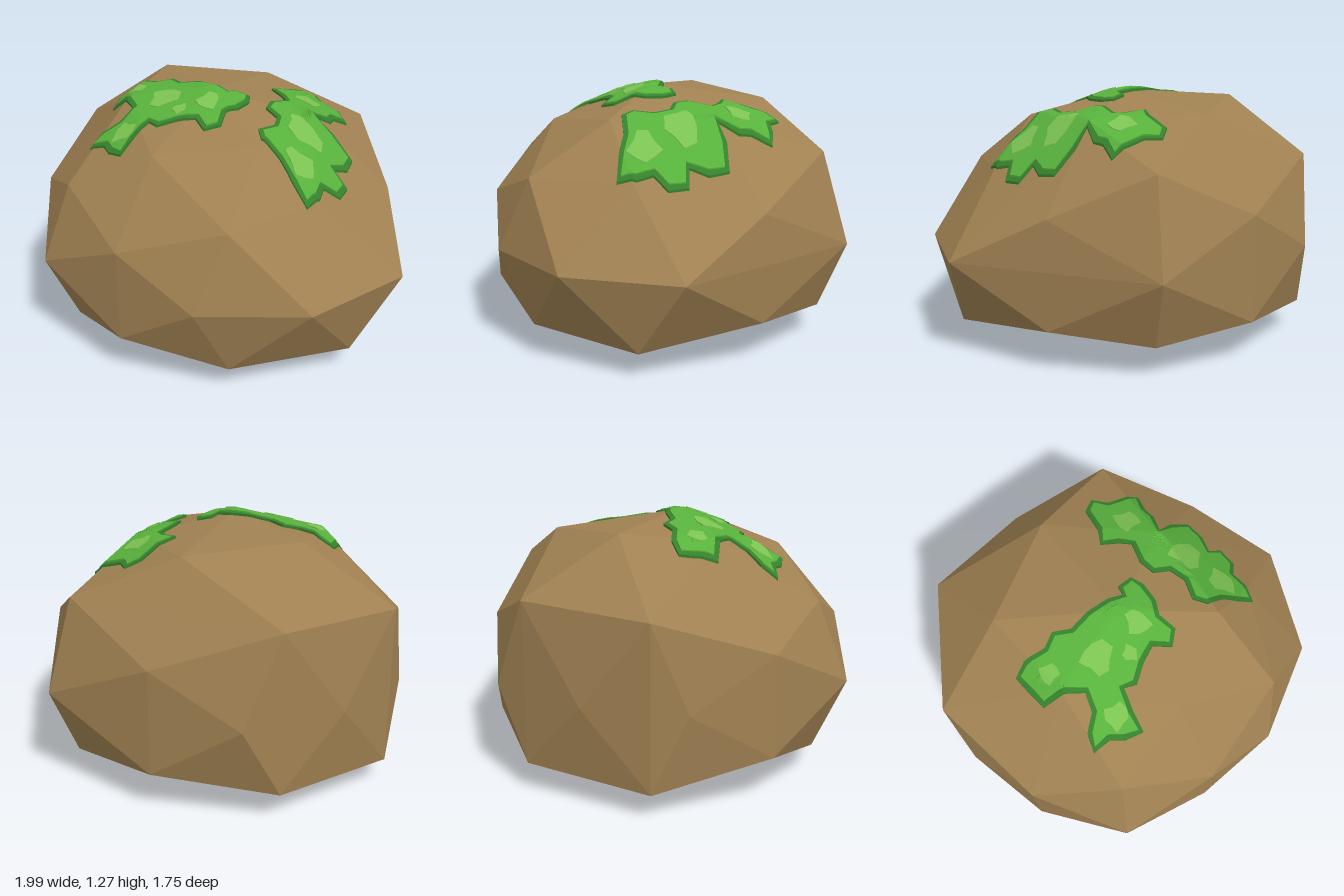
import * as THREE from 'three';
import { ConvexGeometry } from 'three/addons/geometries/ConvexGeometry.js';

// Boulder corners that share one plan position: x, z, low y, high y
const COLUMNS = [
  [-0.08, 0.87, 0.24, 0.71], [0.42, 0.69, 0.14, 0.87], [0.73, -0.38, 0.21, 0.74],
  [0.39, -0.75, 0.16, 0.96], [-0.1, -0.885, 0.21, 0.73], [-0.67, -0.69, 0.15, 0.94],
  [-0.99, -0.12, 0.13, 0.92], [-0.86, 0.44, 0.24, 0.73], [-0.5, 0.69, 0.14, 0.88],
  [-0.08, 0.56, 0.06, 1.08], [0.34, 0.3, 0.05, 1.13], [0.35, -0.2, 0.05, 1.13],
  [-0.1, -0.56, 0.06, 1.17], [-0.57, -0.25, 0.05, 1.22], [-0.5, 0.2, 0.05, 1.17],
  [-0.08, 0.05, 0, 1.255],
];
// Corners of the waist: x, z at y = 0.5
const WAIST = [
  [0.33, 0.85], [0.79, 0.57], [1, 0.03], [0.46, -0.87], [-0.54, -0.83],
  [-0.87, -0.43], [-0.99, 0.05], [-0.57, 0.83],
];
// Moss outlines seen from above: x, z
const MOSS_LEFT = [
  [-0.63, 0.02], [-0.56, -0.01], [-0.45, 0], [-0.38, -0.04], [-0.3, 0], [-0.2, -0.02],
  [-0.08, -0.02], [-0.01, 0], [0, -0.05], [0.08, -0.06], [0.11, 0], [0.11, 0.1],
  [0.08, 0.17], [0.11, 0.26], [0.05, 0.32], [-0.03, 0.27], [-0.11, 0.31], [-0.19, 0.37],
  [-0.25, 0.35], [-0.27, 0.45], [-0.28, 0.55], [-0.37, 0.53], [-0.43, 0.49], [-0.52, 0.49],
  [-0.5, 0.41], [-0.43, 0.35], [-0.41, 0.27], [-0.49, 0.22], [-0.6, 0.2], [-0.62, 0.1],
];
const MOSS_RIGHT = [
  [0.13, -0.52], [0.2, -0.57], [0.26, -0.51], [0.36, -0.5], [0.43, -0.48], [0.4, -0.38],
  [0.41, -0.32], [0.37, -0.22], [0.46, -0.25], [0.58, -0.24], [0.6, -0.14], [0.57, -0.05],
  [0.65, -0.04], [0.66, 0.06], [0.6, 0.12], [0.62, 0.2], [0.6, 0.29], [0.5, 0.27],
  [0.42, 0.24], [0.32, 0.24], [0.27, 0.18], [0.3, 0.08], [0.27, 0], [0.19, -0.03],
  [0.17, -0.11], [0.2, -0.22], [0.15, -0.26], [0.07, -0.3], [0.11, -0.38],
];
// Light tufts: x, z, radius
const TUFTS_LEFT = [[-0.5, 0.11, 0.05], [-0.28, 0.18, 0.08], [-0.14, 0.245, 0.04], [-0.03, 0.15, 0.065], [-0.35, 0.43, 0.06]];
const TUFTS_RIGHT = [[0.26, -0.35, 0.07], [0.4, -0.04, 0.09], [0.49, 0.15, 0.08]];

function boulderGeometry() {
  const v = (x, y, z) => new THREE.Vector3(x, y, z);
  const points = COLUMNS.flatMap(([x, z, lo, hi]) => [v(x, lo, z), v(x, hi, z)]);
  WAIST.forEach(([x, z]) => points.push(v(x, 0.5, z)));
  points.push(v(0.83, 0.13, 0.22), v(0.62, 0.88, 0.22));
  return new ConvexGeometry(points);
}

// Height of the boulder's top: the lowest of its upward facing planes
function heightFunction(geometry) {
  const p = geometry.attributes.position;
  const planes = [];
  for (let i = 0; i < p.count; i += 3) {
    const [a, b, c] = [0, 1, 2].map((k) => new THREE.Vector3().fromBufferAttribute(p, i + k));
    const plane = new THREE.Plane().setFromCoplanarPoints(a, b, c);
    if (plane.normal.y > 0.05) planes.push(plane);
  }
  return (x, z) => Math.min(...planes.map(({ normal: n, constant: d }) => -(d + n.x * x + n.z * z) / n.y));
}

// Moves an outline inward by a fixed distance
function inset(outline, distance) {
  const pts = outline.map(([x, z]) => new THREE.Vector2(x, z));
  const sign = Math.sign(THREE.ShapeUtils.area(pts));
  return pts.map((p, i) => {
    const a = pts[(i + pts.length - 1) % pts.length], b = pts[(i + 1) % pts.length];
    const t = b.clone().sub(a).normalize();
    return [p.x - t.y * distance * sign, p.y + t.x * distance * sign];
  });
}

// Splits every triangle in four
function subdivide(tris) {
  return tris.flatMap(([a, b, c]) => {
    const [ab, bc, ca] = [[a, b], [b, c], [c, a]].map(([m, n]) => m.clone().lerp(n, 0.5));
    return [[a, ab, ca], [ab, b, bc], [ca, bc, c], [ab, bc, ca]];
  });
}

// Thin slab with the given outline, laid over the boulder
function drape(outline, lift, height, passes) {
  const shape = new THREE.Shape(outline.map(([x, z]) => new THREE.Vector2(x, -z)));
  const slab = new THREE.ExtrudeGeometry(shape, { depth: 1, bevelEnabled: false, steps: 1 });
  const p = slab.attributes.position;
  let tris = [];
  for (let i = 0; i < p.count; i += 3) {
    tris.push([0, 1, 2].map((k) => new THREE.Vector3().fromBufferAttribute(p, i + k)));
  }
  for (let i = 0; i < passes; i++) tris = subdivide(tris);
  const points = tris.flat().map((q) => new THREE.Vector3(q.x, height(q.x, -q.y) + q.z * lift - 0.002, -q.y));
  const geometry = new THREE.BufferGeometry().setFromPoints(points);
  geometry.computeVertexNormals();
  return geometry;
}

// Uneven little outline for a tuft
function tuftOutline([x, z, r], seed) {
  return Array.from({ length: 9 }, (_, i) => {
    const a = (i / 9) * Math.PI * 2;
    const k = r * (0.9 + 0.22 * Math.sin(i * 2.4 + seed * 1.7));
    return [x + Math.cos(a) * k, z + Math.sin(a) * k];
  });
}

export function createModel() {
  const model = new THREE.Group();
  model.name = 'mossyBoulder';
  const material = (color, flatShading = false) => new THREE.MeshStandardMaterial({ color, flatShading });
  const dark = material(0x35802c), green = material(0x58b23c), light = material(0x7cc352);
  const add = (parent, name, geometry, mat) => {
    const mesh = new THREE.Mesh(geometry, mat);
    mesh.name = name;
    parent.add(mesh);
  };

  // Boulder
  const rock = boulderGeometry();
  add(model, 'boulder', rock, material(0xa08152, true));

  // Moss patches: dark rim, green body, light tufts
  const height = heightFunction(rock);
  [['mossLeft', MOSS_LEFT, TUFTS_LEFT], ['mossRight', MOSS_RIGHT, TUFTS_RIGHT]].forEach(([name, outline, tufts]) => {
    const patch = new THREE.Group();
    patch.name = name;
    add(patch, 'mossRim', drape(outline, 0.014, height, 3), dark);
    add(patch, 'mossBody', drape(inset(outline, 0.024), 0.02, height, 3), green);
    tufts.forEach((t, i) => add(patch, 'mossTuft', drape(tuftOutline(t, i), 0.025, height, 2), light));
    model.add(patch);
  });
  return model;
}
